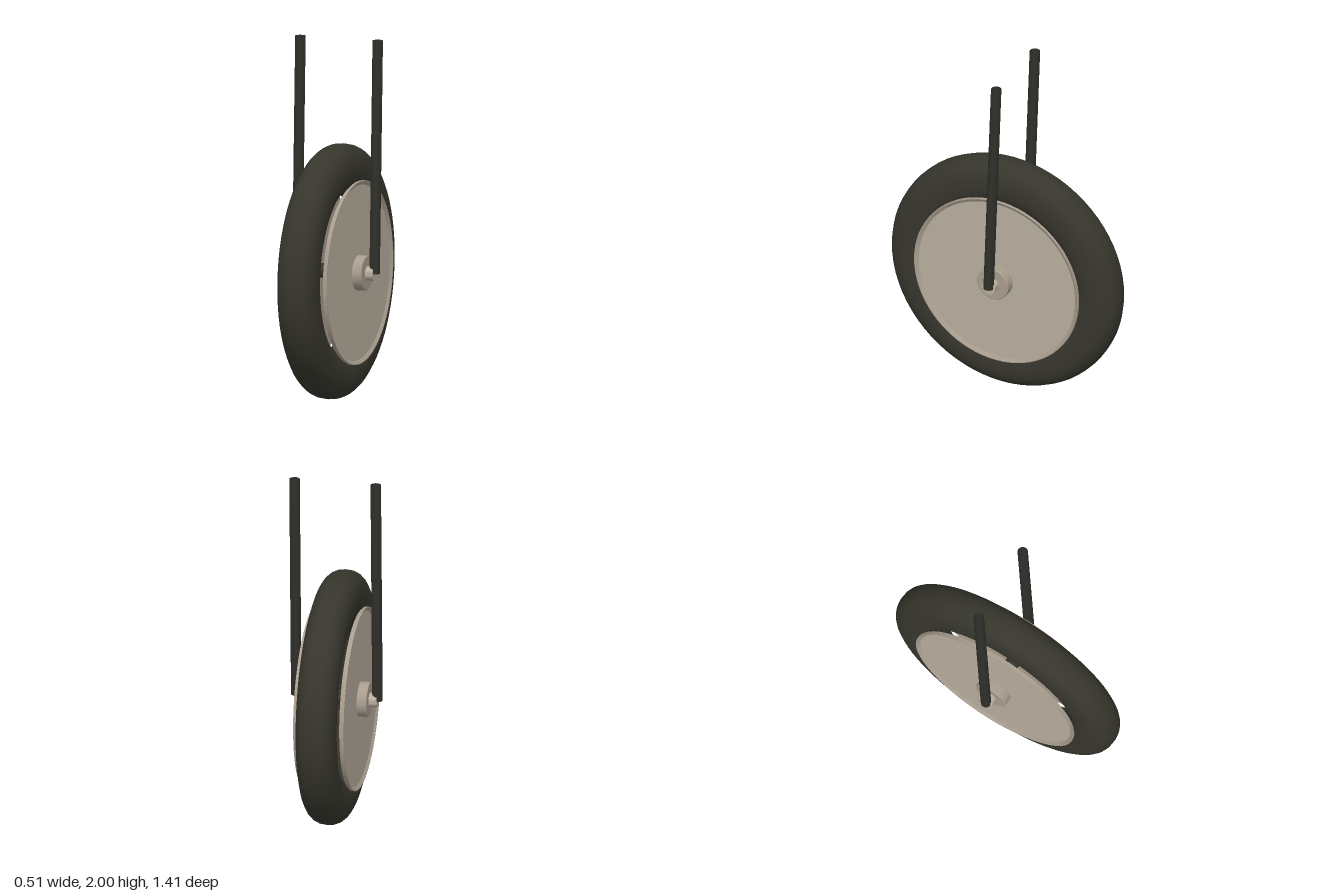
import * as THREE from 'three';
import { toCreasedNormals } from 'three/addons/utils/BufferGeometryUtils.js';

const WHEEL_R = 0.706;

const mat = (name, color, side = THREE.FrontSide) => {
  const m = new THREE.MeshStandardMaterial({ color, side });
  m.name = name;
  return m;
};

// Lathe around the x axis; profile points are [radius, x], with x increasing outward
function latheX(points, segments, crease) {
  const g = new THREE.LatheGeometry(points.map(([r, x]) => new THREE.Vector2(r, x)), segments);
  g.rotateZ(-Math.PI / 2);
  return crease ? toCreasedNormals(g, crease) : g;
}

export function createModel() {
  const rubber = mat('dark rubber', 0x37362d);
  const tube = mat('dark tube', 0x2f302a, THREE.DoubleSide);
  const plate = mat('pale metal', 0xb8ae9e, THREE.DoubleSide);
  const metal = mat('hub metal', 0xa89d8e);

  const model = new THREE.Group();
  model.name = 'wheelAndFork';
  const add = (parent, name, geometry, material) => {
    const mesh = new THREE.Mesh(geometry, material);
    mesh.name = name;
    parent.add(mesh);
    return mesh;
  };

  const wheel = new THREE.Group();
  wheel.name = 'wheel';
  wheel.position.y = WHEEL_R;
  model.add(wheel);

  // Tyre: slightly squared oval section, closed loop
  const section = [];
  const n = 24;
  const power = (v) => Math.sign(v) * Math.abs(v) ** 0.85;
  for (let i = 0; i <= n; i++) {
    const a = (i / n) * Math.PI * 2 - Math.PI;
    section.push([0.572 + 0.134 * power(Math.cos(a)), 0.11 * power(Math.sin(a))]);
  }
  add(wheel, 'tyre', latheX(section, 72), rubber);

  // Dark spindle passing through the wheel
  add(wheel, 'spindle', new THREE.CylinderGeometry(0.04, 0.04, 0.25, 32).rotateZ(Math.PI / 2), rubber);

  for (const side of [1, -1]) {
    const label = side > 0 ? 'left' : 'right';
    const half = new THREE.Group();
    half.name = label + 'WheelSide';
    half.rotation.y = side > 0 ? 0 : Math.PI;
    wheel.add(half);

    // Cover disc and its raised, bevelled lip
    add(half, label + 'CoverDisc', latheX([[0.487, 0.13], [0, 0.13]], 72), plate);
    add(half, label + 'RimLip', latheX([
      [0, 0.115], [0.5, 0.115], [0.5, 0.124], [0.51, 0.126], [0.51, 0.142], [0.505, 0.142], [0.487, 0.13],
    ], 72, 0.5), metal);

    // Stepped hub and axle end
    add(half, label + 'Hub', latheX([
      [0.097, 0.125], [0.097, 0.181], [0.093, 0.185], [0.04, 0.185],
    ], 40, 0.6), metal);
    add(half, label + 'AxleEnd', latheX([
      [0.04, 0.18], [0.04, 0.23], [0, 0.23],
    ], 32, 0.6), plate);

    // Open fork tube, sheared backward so both ends stay level
    const height = 2 - WHEEL_R;
    const leg = new THREE.CylinderGeometry(0.029, 0.029, height, 24, 1, true);
    leg.translate(0, height / 2, 0);
    leg.applyMatrix4(new THREE.Matrix4().makeShear(0, 0, 0, -0.047 / height, 0, 0).identity());
    const p = leg.attributes.position;
    for (let i = 0; i < p.count; i++) p.setZ(i, p.getZ(i) - 0.047 * p.getY(i) / height);
    leg.computeVertexNormals();
    add(model, label + 'ForkLeg', leg, tube).position.set(side * 0.228, WHEEL_R, 0);
  }
  return model;
}
